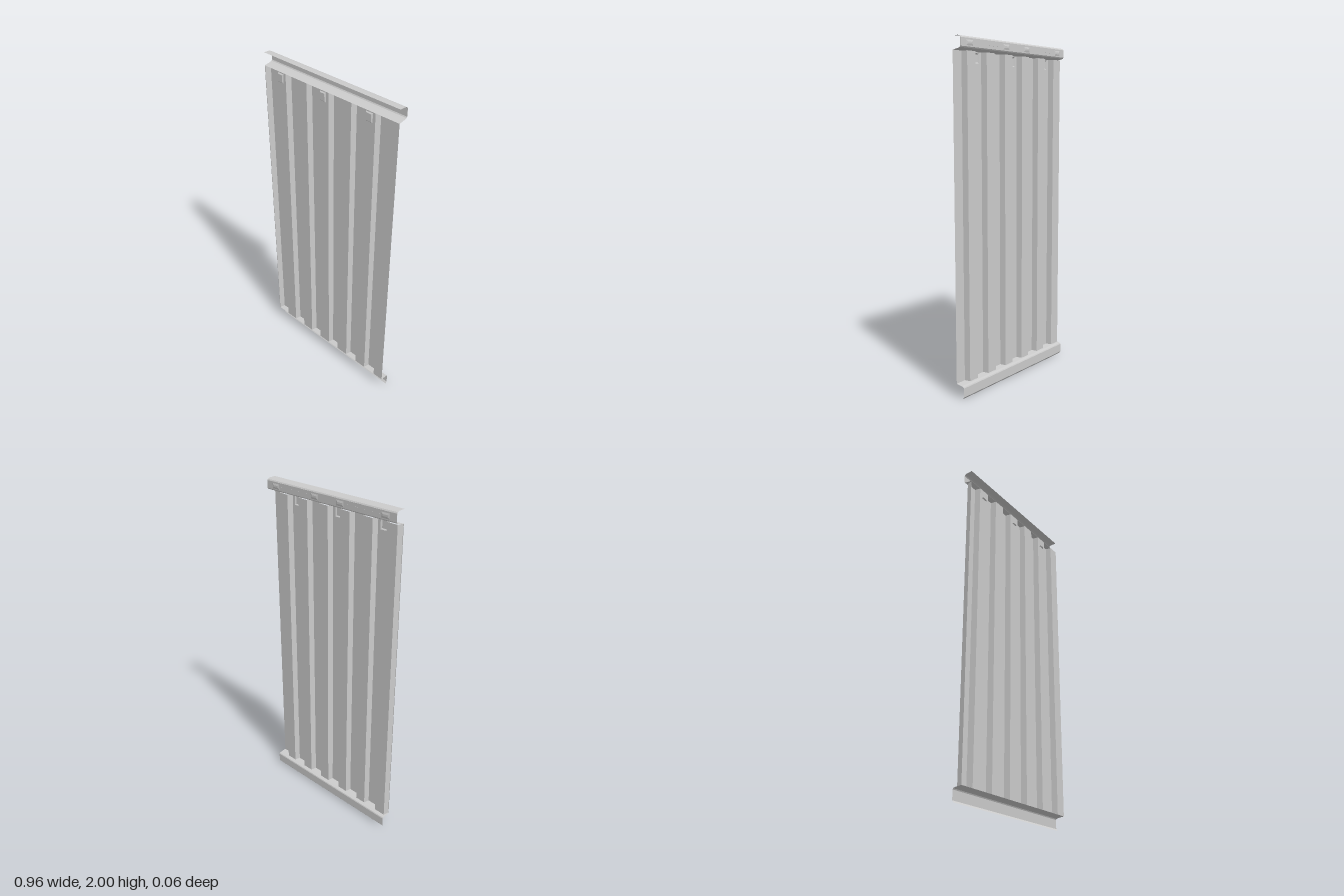
import * as THREE from 'three';

const material = new THREE.MeshStandardMaterial({ color: 0xcccccc, side: THREE.DoubleSide, flatShading: true });

const HALF = 0.478;             // half width of the wall
const FRONT = 0.025, BACK = -0.01; // corrugation depth
const LOW = 0.08, HIGH = 1.925;  // sheet bottom and top

function add(parent, name, geometry, x = 0, y = 0, z = 0) {
  const mesh = new THREE.Mesh(geometry, material);
  mesh.name = name;
  mesh.position.set(x, y, z);
  parent.add(mesh);
  return mesh;
}

// Ruled sheet between two matching lines of points
function sheet(lineA, lineB) {
  const pos = [];
  for (let i = 0; i < lineA.length - 1; i++) {
    const [a, b, c, d] = [lineA[i], lineA[i + 1], lineB[i + 1], lineB[i]];
    pos.push(...a, ...b, ...c, ...a, ...c, ...d);
  }
  const g = new THREE.BufferGeometry();
  g.setAttribute('position', new THREE.Float32BufferAttribute(pos, 3));
  g.computeVertexNormals();
  return g;
}

// Folded rail: a (z, y) section swept across the width
function rail(section) {
  const at = x => section.map(([z, y]) => [x, y, z]);
  return sheet(at(HALF), at(-HALF));
}

// Four-sided tapered wall, open at the base, with its axis along z
function taperedWall(w, h, inset, depth) {
  const ring = (k, z) => [[-1, -1], [1, -1], [1, 1], [-1, 1], [-1, -1]]
    .map(([x, y]) => [x * (w / 2 - k), y * (h / 2 - k), z]);
  return sheet(ring(0, 0), ring(inset, depth));
}

function emboss(name, w, h, inset, depth) {
  const group = new THREE.Group();
  group.name = name;
  add(group, name + 'Sides', taperedWall(w, h, inset, depth));
  const face = add(group, name + 'Face', new THREE.PlaneGeometry(w - 2 * inset, h - 2 * inset), 0, 0, depth);
  if (depth < 0) face.rotation.y = Math.PI;
  return group;
}

export function createModel() {
  const model = new THREE.Group();
  model.name = 'corrugatedWallPanel';

  // Corrugated sheet: front flats, steep flanks and back flats
  const wall = new THREE.Group();
  wall.name = 'corrugatedSheet';
  model.add(wall);
  const slope = 0.007, pitch = 0.16;
  const outline = [[-HALF, FRONT], [-HALF + 0.003, FRONT], [-HALF + 0.01, BACK]];
  for (let k = 0; k < 6; k++) {
    const x = -0.39 + k * pitch;
    outline.push([x - slope, BACK], [x, FRONT]);
    if (k < 5) outline.push([x + 0.078, FRONT], [x + 0.078 + slope, BACK]);
  }
  outline.push([HALF, FRONT]);

  const ventW = 0.044, ventH = 0.055, ventY = 1.892;
  for (let i = 0; i < outline.length - 1; i++) {
    const [x0, z0] = outline[i], [x1, z1] = outline[i + 1];
    const middle = (x0 + x1) / 2;
    const vented = z0 === FRONT && z1 === FRONT && [-0.351, -0.031, 0.289].some(v => Math.abs(v - middle) < 0.01);
    if (!vented) {
      add(wall, 'sheetStrip', sheet([[x0, LOW, z0], [x1, LOW, z1]], [[x0, HIGH, z0], [x1, HIGH, z1]]));
      continue;
    }
    // Front flat with a vent opening
    const shape = new THREE.Shape([[x0, LOW], [x1, LOW], [x1, HIGH], [x0, HIGH]].map(p => new THREE.Vector2(...p)));
    const [l, r, b, t] = [middle - ventW / 2, middle + ventW / 2, ventY - ventH / 2, ventY + ventH / 2];
    shape.holes.push(new THREE.Path([[l, b], [l, t], [r, t], [r, b]].map(p => new THREE.Vector2(...p))));
    add(wall, 'ventedStrip', new THREE.ShapeGeometry(shape), 0, 0, FRONT);
    const vent = emboss('vent', ventW, ventH, 0.006, 0.006);
    vent.position.set(middle, ventY, FRONT);
    model.add(vent);
  }

  // Top rail: top flange, recessed web and sloping lower lip
  add(model, 'topRail', rail([
    [0.025, 2.0], [-0.014, 1.998], [-0.026, 1.993], [-0.03, 1.987],
    [-0.03, 1.942], [-0.026, 1.936], [-0.014, 1.932], [0.025, 1.925],
  ]));

  // Bottom rail: sloping upper flange, web and short toe
  add(model, 'bottomRail', rail([
    [0.025, 0.08], [-0.014, 0.075], [-0.027, 0.071], [-0.03, 0.065],
    [-0.03, 0.012], [-0.02, 0],
  ]));

  // Pressed details along the top rail web, mirrored about the centre
  for (const side of [-1, 1]) {
    add(model, 'webPlate', new THREE.BoxGeometry(0.453, 0.045, 0.001), side * 0.2515, 1.9645, -0.0305);
    add(model, 'webRib', new THREE.BoxGeometry(0.29, 0.008, 0.002), side * 0.253, 1.963, -0.0305);
    for (const x of [0.095, 0.405]) {
      const boss = emboss('webBoss', 0.055, 0.03, 0.01, -0.003);
      boss.position.set(side * x, 1.963, -0.031);
      model.add(boss);
    }
  }
  return model;
}
